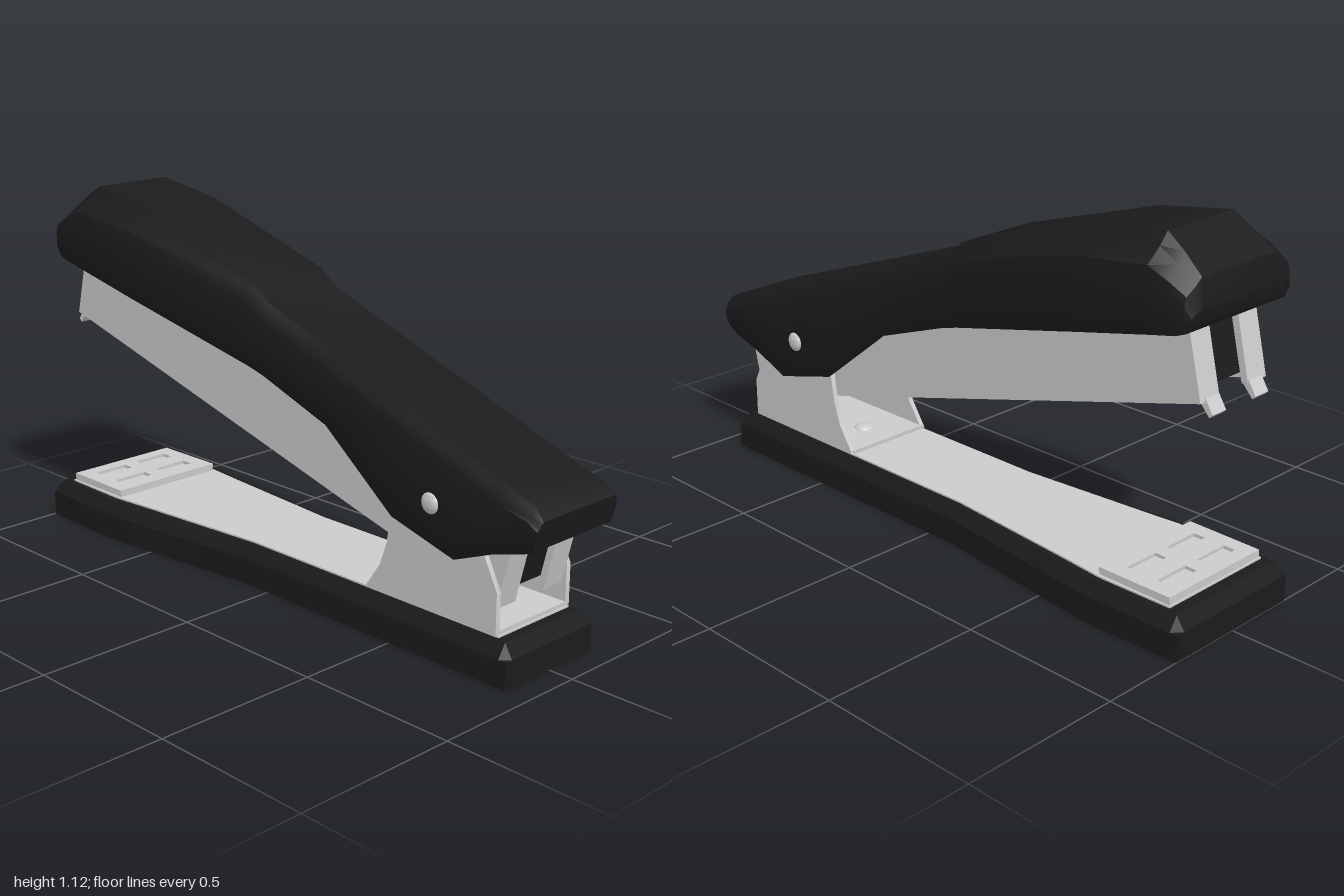
import * as THREE from 'three';
import { toCreasedNormals } from 'three/addons/utils/BufferGeometryUtils.js';

const metal = new THREE.MeshStandardMaterial({ color: 0xcccccc, side: THREE.DoubleSide });
const black = new THREE.MeshStandardMaterial({ color: 0x1b1b1b, side: THREE.DoubleSide });

// Mesh with a name and softened normals
function part(name, geometry, material, crease = 0.6) {
  const mesh = new THREE.Mesh(toCreasedNormals(geometry, crease), material);
  mesh.name = name;
  return mesh;
}

// Skin over closed rings of [x, y, z] points, capped at both ends
function loft(rings) {
  const n = rings[0].length, index = [];
  for (let i = 0; i < rings.length - 1; i++) {
    for (let j = 0; j < n; j++) {
      const a = i * n + j, b = i * n + (j + 1) % n;
      index.push(a, a + n, b + n, a, b + n, b);
    }
  }
  const last = (rings.length - 1) * n;
  for (let k = 1; k < n - 1; k++) {
    index.push(0, k, k + 1, last, last + k + 1, last + k);
  }
  const g = new THREE.BufferGeometry();
  g.setAttribute('position', new THREE.Float32BufferAttribute(rings.flat(2), 3));
  g.setIndex(index);
  return g;
}

// Completes a half section (z > 0) with its mirror image
const mirrored = half => [...half, ...half.map(([x, y, z]) => [x, y, -z]).reverse()];

const shapeOf = pts => new THREE.Shape(pts.map(p => new THREE.Vector2(...p)));

// Side outline (x, y) given thickness from z0 to z1
function slab(name, pts, z0, z1, material) {
  const g = new THREE.ExtrudeGeometry(shapeOf(pts), { depth: z1 - z0, bevelEnabled: false });
  return part(name, g.translate(0, 0, z0), material);
}

// Plan outline given thickness upwards from y
function plate(name, shape, y, height, material) {
  const g = new THREE.ExtrudeGeometry(shape, { depth: height, bevelEnabled: false });
  return part(name, g.rotateX(-Math.PI / 2).translate(0, y, 0), material);
}

function makeBase() {
  // x, half width, height
  const stations = [[-1, 0.238, 0.08], [-0.975, 0.24, 0.122], [-0.7, 0.25, 0.122], [-0.55, 0.235, 0.122],
    [-0.1, 0.185, 0.122], [0.895, 0.185, 0.122], [0.92, 0.185, 0.08]];
  return part('base', loft(stations.map(([x, w, h]) =>
    mirrored([[x, 0, w], [x, 0.08, w], [x, h, w - 0.027]]))), black, 0.4);
}

function makeHandle() {
  // bottom x, y; top x, y; half width; top half width; shoulder height; cavity (1 = open below)
  const stations = [
    [-0.965, 0.91, -0.975, 0.955, 0.205, 0.17, 0.02, 0],
    [-0.957, 0.895, -0.955, 1.03, 0.217, 0.15, 0.06, 0],
    [-0.93, 0.885, -0.89, 1.08, 0.224, 0.14, 0.09, 0],
    [-0.85, 0.868, -0.83, 1.12, 0.225, 0.135, 0.11, 1],
    [-0.6, 0.808, -0.58, 1.08, 0.215, 0.135, 0.10, 1],
    [-0.1, 0.68, -0.10, 0.93, 0.173, 0.135, 0.065, 1],
    [-0.04, 0.663, -0.04, 0.88, 0.171, 0.14, 0.05, 1],
    [0.22, 0.57, 0.25, 0.775, 0.17, 0.14, 0.05, 1],
    [0.48, 0.365, 0.52, 0.677, 0.17, 0.14, 0.05, 1],
    [0.71, 0.303, 0.75, 0.594, 0.17, 0.14, 0.05, 1],
    [0.84, 0.355, 0.88, 0.547, 0.17, 0.14, 0.045, 1],
    [0.945, 0.385, 0.97, 0.515, 0.17, 0.145, 0.035, 0],
    [0.98, 0.40, 1.0, 0.485, 0.168, 0.15, 0.025, 0],
  ];
  return part('handle', loft(stations.map(([xb, yb, xt, yt, w, wt, c, open]) => {
    const h = yt - yb;
    const at = (y, z) => [xb + (xt - xb) * (y - yb) / h, y, z];
    const inner = w - 0.016;
    return mirrored([
      at(open ? yt - Math.max(0.045, c) : yb, inner), at(yb, inner), at(yb, w - 0.01),
      at(yb + Math.min(0.03, h * 0.3), w), at(yt - c, w), at(yt - c * 0.65, w - 0.008),
      at(yt - c * 0.3, wt + (w - wt) * 0.35), at(yt, wt),
    ]);
  })), black, 0.5);
}

export function createModel() {
  const model = new THREE.Group();
  model.name = 'stapler';
  model.add(makeBase(), makeHandle());

  // Metal strip on top of the base
  const edge = [[-0.94, 0.2], [-0.7, 0.205], [-0.55, 0.19], [-0.1, 0.15], [0.865, 0.15]];
  const strip = [...edge, ...edge.map(([x, z]) => [x, -z]).reverse()];
  model.add(plate('baseStrip', shapeOf(strip), 0.12, 0.007, metal));

  // Anvil with four staple grooves
  const anvil = shapeOf([[-0.935, -0.195], [-0.69, -0.198], [-0.69, 0.198], [-0.935, 0.195]]);
  for (const x of [-0.87, -0.765]) {
    for (const z of [-0.085, 0.085]) {
      const groove = [[x - 0.02, z - 0.06], [x - 0.02, z + 0.06], [x + 0.02, z + 0.06], [x + 0.02, z - 0.06]];
      anvil.holes.push(new THREE.Path(groove.map(p => new THREE.Vector2(...p))));
    }
  }
  model.add(plate('anvil', anvil, 0.138, 0.012, metal));
  const anvilBase = new THREE.BoxGeometry(0.245, 0.02, 0.39).translate(-0.8125, 0.13, 0);
  model.add(part('anvilBase', anvilBase, metal));

  // Staple magazine: side rails, end flanges and front hooks around a dark core
  const rail = [[-0.96, 0.69], [0.845, 0.195], [0.9, 0.42], [-0.905, 0.92]];
  const frontFlange = [[-0.96, 0.69], [-0.94, 0.685], [-0.885, 0.91], [-0.905, 0.92]];
  const rearFlange = [[0.825, 0.2], [0.845, 0.195], [0.9, 0.42], [0.88, 0.425]];
  const hook = [[-0.96, 0.70], [-0.985, 0.66], [-0.975, 0.65], [-0.94, 0.69]];
  // Hinge bracket cheek
  const cheek = [[0.38, 0.128], [0.86, 0.128], [0.86, 0.25], [0.80, 0.37], [0.70, 0.48],
    [0.56, 0.48], [0.475, 0.38], [0.46, 0.28], [0.435, 0.21]];
  for (const side of [1, -1]) {
    const add = (name, pts, near, far) =>
      model.add(slab(name, pts, Math.min(side * near, side * far), Math.max(side * near, side * far), metal));
    add('magazineRail', rail, 0.124, 0.138);
    add('frontFlange', frontFlange, 0.06, 0.136);
    add('rearFlange', rearFlange, 0.06, 0.136);
    add('frontHook', hook, 0.062, 0.118);
    add('bracketCheek', cheek, 0.14, 0.156);

    // Domed head of the hinge pin
    const head = new THREE.SphereGeometry(0.031, 24, 12).scale(1, 1, 0.4);
    model.add(part('pinHead', head.translate(0.63, 0.445, side * 0.168), metal, 1));
  }
  model.add(slab('magazineCore',
    [[-0.925, 0.71], [0.825, 0.227], [0.87, 0.425], [-0.88, 0.905]], -0.123, 0.123, black));

  // Hinge pin, bracket floor and its rivet
  const pin = new THREE.CylinderGeometry(0.028, 0.028, 0.33, 24).rotateX(Math.PI / 2);
  model.add(part('hingePin', pin.translate(0.63, 0.445, 0), metal));
  const floor = new THREE.BoxGeometry(0.48, 0.014, 0.3).translate(0.62, 0.132, 0);
  model.add(part('bracketFloor', floor, metal));
  const rivet = new THREE.SphereGeometry(0.032, 24, 8, 0, Math.PI * 2, 0, Math.PI / 2).scale(1, 0.4, 1);
  model.add(part('rivet', rivet.translate(0.5, 0.138, 0), metal, 1));

  return model;
}
